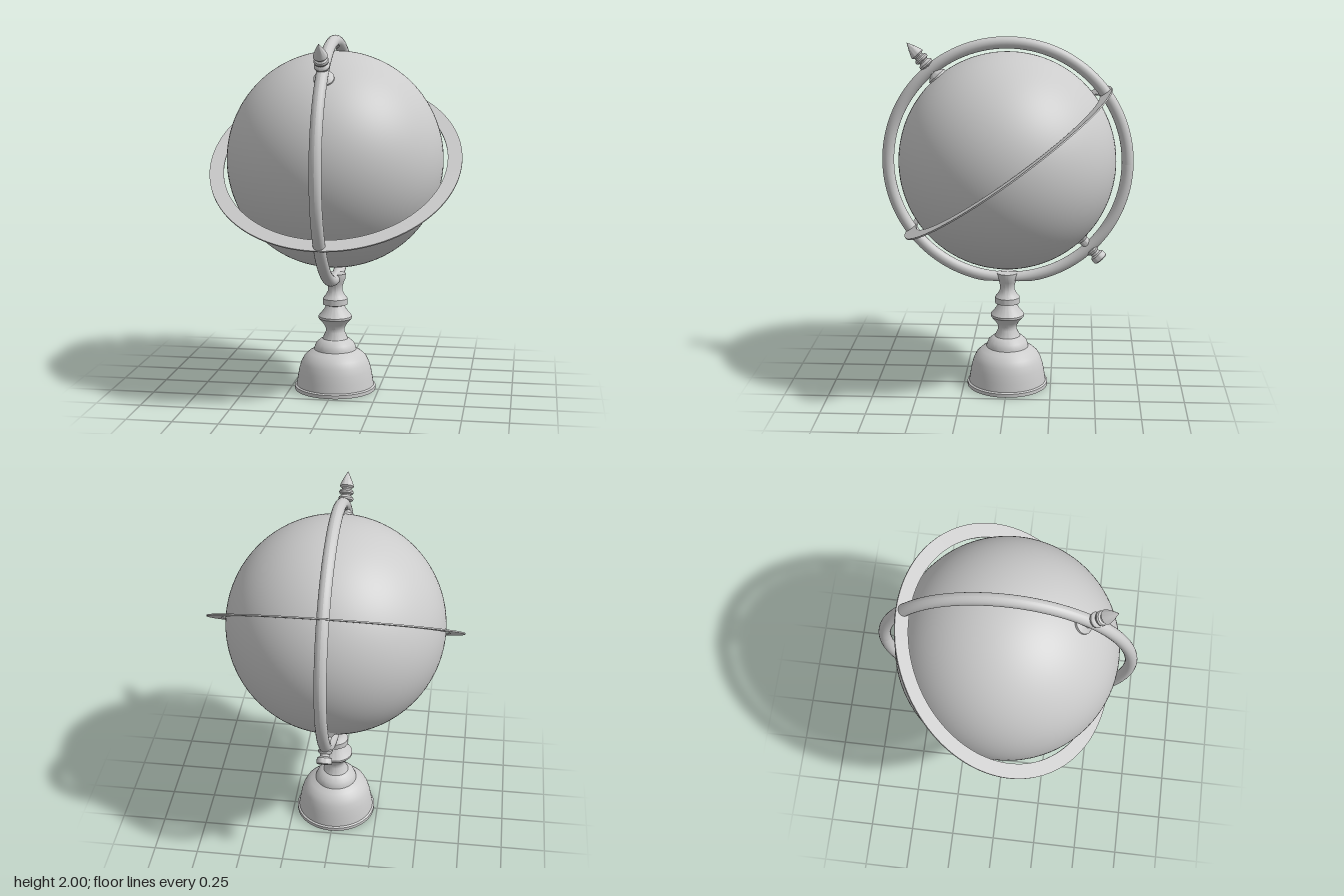
import * as THREE from 'three';
import { toCreasedNormals } from 'three/addons/utils/BufferGeometryUtils.js';

const material = new THREE.MeshStandardMaterial({ color: 0xcccccc });
const CENTRE_Y = 1.307;

function addMesh(parent, name, geometry) {
  const mesh = new THREE.Mesh(geometry, material);
  mesh.name = name;
  parent.add(mesh);
  return mesh;
}

// Turned part from [radius, height] pairs, listed bottom to top
function turned(points, segments) {
  const profile = points.map(([r, y]) => new THREE.Vector2(r, y));
  return toCreasedNormals(new THREE.LatheGeometry(profile, segments), 0.6);
}

export function createModel() {
  const model = new THREE.Group();
  model.name = 'deskGlobe';

  // Bell-shaped foot and turned stem
  addMesh(model, 'stand', turned([
    [0, 0], [0.23, 0], [0.23, 0.02], [0.22, 0.026], [0.213, 0.07],
    [0.205, 0.115], [0.193, 0.155], [0.177, 0.187], [0.15, 0.212], [0.12, 0.23],
    [0.118, 0.24], [0.108, 0.265], [0.085, 0.285], [0.072, 0.292],
    [0.054, 0.33], [0.052, 0.35], [0.065, 0.375], [0.095, 0.41], [0.095, 0.422],
    [0.065, 0.458], [0.052, 0.484], [0.07, 0.49], [0.07, 0.523],
    [0.056, 0.54], [0.042, 0.565], [0.041, 0.59], [0.048, 0.615],
    [0.058, 0.638], [0.06, 0.667], [0, 0.667],
  ], 64));

  // Globe ball
  addMesh(model, 'globe', new THREE.SphereGeometry(0.602, 96, 64)).position.y = CENTRE_Y + 0.006;

  // Upright round ring, flattened where it rests in the stand
  const hoop = new THREE.TorusGeometry(0.665, 0.033, 20, 128);
  hoop.rotateY(Math.PI / 2);
  hoop.translate(0, 1.302, 0);
  const p = hoop.attributes.position;
  for (let i = 0; i < p.count; i++) p.setY(i, Math.max(p.getY(i), 0.623));
  hoop.computeVertexNormals();
  addMesh(model, 'meridianRing', hoop);

  // Thin flat ring around the tilted equator
  const t = 0.004;
  const equator = addMesh(model, 'equatorRing', turned([
    [0.625, -t], [0.705, -t], [0.705, t], [0.625, t], [0.625, -t],
  ], 128));
  equator.position.y = CENTRE_Y;
  equator.rotation.x = 0.624;

  // Pivot pins: both start with a round seat on the ball
  const seat = [[0, -0.02], [0.055, -0.02], [0.055, 0.004], [0.042, 0.014], [0.028, 0.028], [0.026, 0.075]];
  const tilt = 0.733;

  // Upper pin with two collars and a pointed tip
  const finial = addMesh(model, 'topFinial', turned([
    ...seat, [0.04, 0.082], [0.042, 0.092], [0.038, 0.1], [0.027, 0.107],
    [0.027, 0.113], [0.038, 0.119], [0.04, 0.128], [0.036, 0.137], [0.026, 0.143],
    [0.026, 0.15], [0.039, 0.16], [0.034, 0.175], [0.02, 0.208], [0, 0.246],
  ], 32));
  finial.position.set(0, 1.78, 0.385);
  finial.rotation.x = tilt;

  // Lower pin with a blunt knob
  const knob = addMesh(model, 'bottomKnob', turned([
    ...seat, [0.026, 0.09], [0.037, 0.097], [0.039, 0.106], [0.035, 0.115],
    [0.027, 0.121], [0.027, 0.134], [0.04, 0.142], [0.042, 0.15],
    [0.042, 0.172], [0.038, 0.177], [0, 0.177],
  ], 32));
  knob.position.set(0, 0.884, -0.408);
  knob.rotation.x = tilt + Math.PI;

  return model;
}
